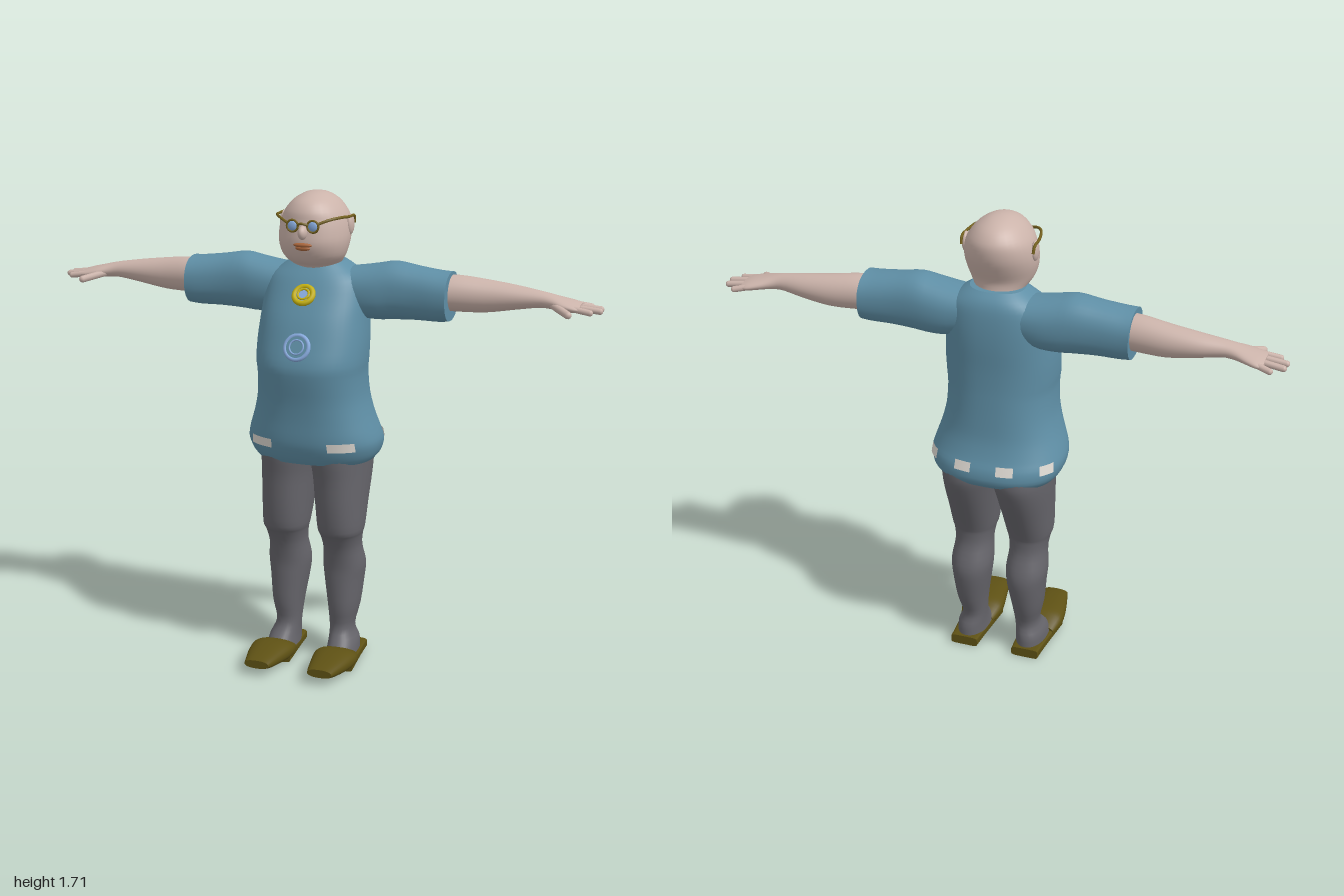
import * as THREE from 'three';

const mat = (color) => new THREE.MeshStandardMaterial({ color, side: THREE.DoubleSide });
const SKIN = mat(0xcbb3aa), SHIRT = mat(0x5f8fa6), TROUSER = mat(0x66656b), SHOE = mat(0x5e5114);
const GOLD = mat(0xc4b010), BLUE = mat(0x86a9dc), FRAME = mat(0x75621f), LIP = mat(0xa9663c), WHITE = mat(0xded9d2);

// Axis orders for lofts: (t along the part, p and q across it)
const UP = (t, p, q) => [p, t, q];
const SIDE = (t, p, q) => [t, q, p];
const FORWARD = (t, p, q) => [q, p, t];

// Point at angle a on a rounded-box section [t, pMin, pMax, qMin, qMax]
function section([t, p0, p1, q0, q1], a, n, place, grow = 0) {
  const c = Math.cos(a), s = Math.sin(a), e = 2 / n;
  const p = (p0 + p1) / 2 + ((p1 - p0) / 2 + grow) * Math.sign(c) * Math.abs(c) ** e;
  const q = (q0 + q1) / 2 + ((q1 - q0) / 2 + grow) * Math.sign(s) * Math.abs(s) ** e;
  return place(t, p, q);
}

// Smooth closed skin through a list of sections, with flat end caps
function loft(name, rings, place, material, { n = 2, seg = 32, sub = 3 } = {}) {
  const rows = [];
  const last = rings.length - 1;
  for (let i = 0; i <= last * sub; i++) {
    const k = Math.min(Math.floor(i / sub), last - 1), f = i / sub - k;
    const at = (j) => rings[Math.max(0, Math.min(last, j))];
    rows.push(rings[k].map((_, d) => {
      const [a, b, c, e] = [at(k - 1)[d], at(k)[d], at(k + 1)[d], at(k + 2)[d]];
      return b + 0.5 * f * (c - a + f * (2 * a - 5 * b + 4 * c - e + f * (3 * (b - c) + e - a)));
    }));
  }
  const pos = [], idx = [];
  const addRow = (row) => {
    for (let j = 0; j < seg; j++) pos.push(...section(row, (j / seg) * Math.PI * 2, n, place));
  };
  rows.forEach(addRow);
  for (let i = 0; i < rows.length - 1; i++) {
    for (let j = 0; j < seg; j++) {
      const a = i * seg + j, b = i * seg + (j + 1) % seg;
      idx.push(a, a + seg, b, b, a + seg, b + seg);
    }
  }
  for (const [row, top] of [[rows[0], false], [rows[rows.length - 1], true]]) {
    const start = pos.length / 3;
    addRow(row);
    pos.push(...place(row[0], (row[1] + row[2]) / 2, (row[3] + row[4]) / 2));
    for (let j = 0; j < seg; j++) {
      const a = start + j, b = start + (j + 1) % seg, c = start + seg;
      if (top) idx.push(a, c, b); else idx.push(a, b, c);
    }
  }
  const g = new THREE.BufferGeometry();
  g.setAttribute('position', new THREE.Float32BufferAttribute(pos, 3));
  g.setIndex(idx);
  g.computeVertexNormals();
  return mesh(name, g, material);
}

function mesh(name, geometry, material, x = 0, y = 0, z = 0) {
  const m = new THREE.Mesh(geometry, material);
  m.name = name;
  m.position.set(x, y, z);
  return m;
}

function blob(name, material, x, y, z, sx, sy, sz) {
  const m = mesh(name, new THREE.SphereGeometry(1, 20, 14), material, x, y, z);
  m.scale.set(sx, sy, sz);
  return m;
}

function wire(name, points, r, material) {
  const curve = new THREE.CatmullRomCurve3(points.map((p) => new THREE.Vector3(...p)));
  return mesh(name, new THREE.TubeGeometry(curve, 20, r, 6), material);
}

// Capsule from a to b, used for fingers
function finger(name, a, b, r) {
  const A = new THREE.Vector3(...a), B = new THREE.Vector3(...b), d = B.clone().sub(A);
  const m = mesh(name, new THREE.CapsuleGeometry(r, d.length(), 4, 10), SKIN);
  m.position.copy(A).add(B).multiplyScalar(0.5);
  m.quaternion.setFromUnitVectors(new THREE.Vector3(0, 1, 0), d.normalize());
  return m;
}

// Round badge: ring with a disc and an inner ring, tilted to lie on the chest
function badge(name, y, z, tilt, r, tube, rim, face) {
  const g = new THREE.Group();
  g.name = name;
  const disc = mesh('badgeFace', new THREE.CylinderGeometry(r, r, 0.012, 28), face);
  disc.rotation.x = Math.PI / 2;
  g.add(mesh('badgeRim', new THREE.TorusGeometry(r, tube, 10, 32), rim), disc);
  g.add(mesh('badgeInnerRing', new THREE.TorusGeometry(r * 0.6, tube * 0.4, 8, 28), rim, 0, 0, 0.006));
  g.position.set(0, y, z);
  g.rotation.x = -tilt;
  return g;
}

// Pale strip wrapped on the hem between two angles in degrees
function hemStrip(a0, a1) {
  const pos = [], idx = [], steps = 6;
  for (let i = 0; i <= steps; i++) {
    const a = THREE.MathUtils.degToRad(a0 + (a1 - a0) * i / steps);
    pos.push(...section([0.823, -0.24, 0.24, -0.246, 0.134], a, 2.4, UP, 0.004));
    pos.push(...section([0.856, -0.236, 0.236, -0.235, 0.141], a, 2.4, UP, 0.004));
    if (i < steps) idx.push(2 * i, 2 * i + 1, 2 * i + 2, 2 * i + 2, 2 * i + 1, 2 * i + 3);
  }
  const g = new THREE.BufferGeometry();
  g.setAttribute('position', new THREE.Float32BufferAttribute(pos, 3));
  g.setIndex(idx);
  g.computeVertexNormals();
  return mesh('hemStrip', g, WHITE);
}

// Everything that exists once per side, built at +x
function sideParts() {
  const g = new THREE.Group();
  g.add(loft('sleeve', [
    [0.05, -0.17, 0, 1.31, 1.44], [0.15, -0.18, 0.01, 1.275, 1.452], [0.22, -0.18, 0.01, 1.268, 1.464],
    [0.28, -0.176, 0.005, 1.272, 1.474], [0.36, -0.17, 0.003, 1.276, 1.462], [0.44, -0.17, 0.008, 1.276, 1.452],
    [0.48, -0.172, 0.01, 1.28, 1.45]], SIDE, SHIRT, { n: 2.3 }));
  g.add(loft('arm', [
    [0.42, -0.15, -0.02, 1.315, 1.435], [0.5, -0.157, -0.033, 1.312, 1.438], [0.6, -0.163, -0.05, 1.314, 1.427],
    [0.7, -0.157, -0.062, 1.33, 1.414], [0.78, -0.142, -0.069, 1.343, 1.402], [0.82, -0.145, -0.065, 1.343, 1.394],
    [0.86, -0.16, -0.052, 1.34, 1.384], [0.9, -0.172, -0.05, 1.336, 1.374], [0.925, -0.168, -0.054, 1.338, 1.366],
  ], SIDE, SKIN));
  [[-0.156, -0.17, 0.948], [-0.126, -0.135, 0.986], [-0.095, -0.098, 0.989], [-0.066, -0.062, 0.962]]
    .forEach(([z0, z1, x]) => g.add(finger('finger', [0.9, 1.355, z0], [x, 1.346, z1], 0.011)));
  g.add(finger('thumb', [0.835, 1.36, -0.075], [0.897, 1.343, -0.018], 0.013));

  g.add(loft('trouserLeg', [
    [0.03, 0.06, 0.17, -0.125, 0.09], [0.07, 0.062, 0.165, -0.122, 0.05], [0.12, 0.06, 0.147, -0.108, 0.012],
    [0.2, 0.052, 0.163, -0.135, 0.022], [0.3, 0.036, 0.174, -0.156, 0.022], [0.36, 0.03, 0.18, -0.152, 0.022],
    [0.43, 0.036, 0.172, -0.125, 0.035], [0.48, 0.03, 0.178, -0.122, 0.058], [0.51, 0.022, 0.186, -0.13, 0.076],
    [0.6, 0.012, 0.19, -0.17, 0.086], [0.7, 0, 0.195, -0.215, 0.09], [0.77, -0.012, 0.197, -0.235, 0.098],
    [0.84, -0.015, 0.197, -0.22, 0.1]], UP, TROUSER, { n: 2.2 }));
  g.add(loft('shoeSole', [
    [-0.135, 0, 0.036, 0.068, 0.17], [-0.05, 0, 0.034, 0.062, 0.176], [0.1, 0, 0.034, 0.048, 0.192]],
  FORWARD, SHOE, { n: 6 }));
  g.add(loft('shoeToe', [
    [0.01, 0.002, 0.05, 0.056, 0.184], [0.06, 0.002, 0.072, 0.043, 0.198], [0.1, 0.004, 0.078, 0.043, 0.198],
    [0.16, 0.01, 0.074, 0.054, 0.188], [0.22, 0.02, 0.067, 0.066, 0.173], [0.25, 0.03, 0.06, 0.074, 0.165]],
  FORWARD, SHOE, { n: 2.4 }));

  g.add(blob('ear', SKIN, 0.122, 1.598, -0.055, 0.013, 0.036, 0.024));
  g.add(blob('lens', BLUE, 0.037, 1.606, 0.088, 0.018, 0.018, 0.008));
  g.add(mesh('lensRim', new THREE.TorusGeometry(0.02, 0.004, 6, 20), FRAME, 0.037, 1.606, 0.09));
  g.add(wire('glassesTemple', [[0.055, 1.615, 0.09], [0.085, 1.627, 0.072], [0.112, 1.632, 0.035],
    [0.127, 1.628, -0.03], [0.128, 1.624, -0.08], [0.126, 1.6, -0.09]], 0.005, FRAME));
  [[41, 69], [-42, -24], [-82, -68]].forEach(([a, b]) => g.add(hemStrip(a, b)));
  return g;
}

export function createModel() {
  const model = new THREE.Group();
  model.name = 'standingMan';

  // Shirt body with a flared hem and round belly
  model.add(loft('shirtBody', [
    [0.765, -0.212, 0.212, -0.232, 0.103], [0.79, -0.23, 0.23, -0.248, 0.12], [0.83, -0.24, 0.24, -0.245, 0.136],
    [0.87, -0.232, 0.232, -0.228, 0.142], [0.93, -0.212, 0.212, -0.211, 0.145], [1.0, -0.195, 0.195, -0.204, 0.152],
    [1.08, -0.19, 0.19, -0.199, 0.166], [1.13, -0.194, 0.194, -0.197, 0.168], [1.2, -0.195, 0.195, -0.197, 0.145],
    [1.28, -0.19, 0.19, -0.2, 0.115], [1.35, -0.185, 0.185, -0.198, 0.078], [1.41, -0.17, 0.17, -0.19, 0.045],
    [1.445, -0.13, 0.13, -0.175, 0.02], [1.468, -0.096, 0.096, -0.152, 0.002]],
  UP, SHIRT, { n: 2.4, seg: 48 }));

  // Bald head and thick neck
  model.add(loft('head', [
    [1.42, -0.085, 0.085, -0.14, -0.005], [1.455, -0.085, 0.085, -0.138, 0.02], [1.475, -0.098, 0.098, -0.135, 0.055],
    [1.5, -0.113, 0.113, -0.137, 0.077], [1.54, -0.124, 0.124, -0.157, 0.092], [1.58, -0.125, 0.125, -0.174, 0.09],
    [1.62, -0.118, 0.118, -0.18, 0.083], [1.65, -0.103, 0.103, -0.174, 0.077], [1.68, -0.077, 0.077, -0.15, 0.055],
    [1.7, -0.046, 0.046, -0.112, 0.016], [1.708, -0.022, 0.022, -0.075, -0.02], [1.71, -0.002, 0.002, -0.05, -0.046]],
  UP, SKIN));
  model.add(blob('nose', SKIN, 0, 1.583, 0.09, 0.016, 0.024, 0.025));
  model.add(blob('upperLip', LIP, 0, 1.541, 0.09, 0.034, 0.008, 0.01));
  model.add(blob('lowerLip', LIP, 0, 1.53, 0.088, 0.027, 0.009, 0.01));
  model.add(wire('glassesBridge', [[-0.019, 1.61, 0.092], [0, 1.616, 0.1], [0.019, 1.61, 0.092]], 0.004, FRAME));

  // Chest badges
  model.add(badge('goldBadge', 1.367, 0.08, 0.72, 0.033, 0.01, GOLD, BLUE));
  model.add(badge('blueBadge', 1.197, 0.148, 0.4, 0.042, 0.008, BLUE, SHIRT));

  // Left side and its mirror
  for (const [name, s] of [['leftSide', 1], ['rightSide', -1]]) {
    const g = sideParts();
    g.name = name;
    g.scale.x = s;
    model.add(g);
  }
  return model;
}
